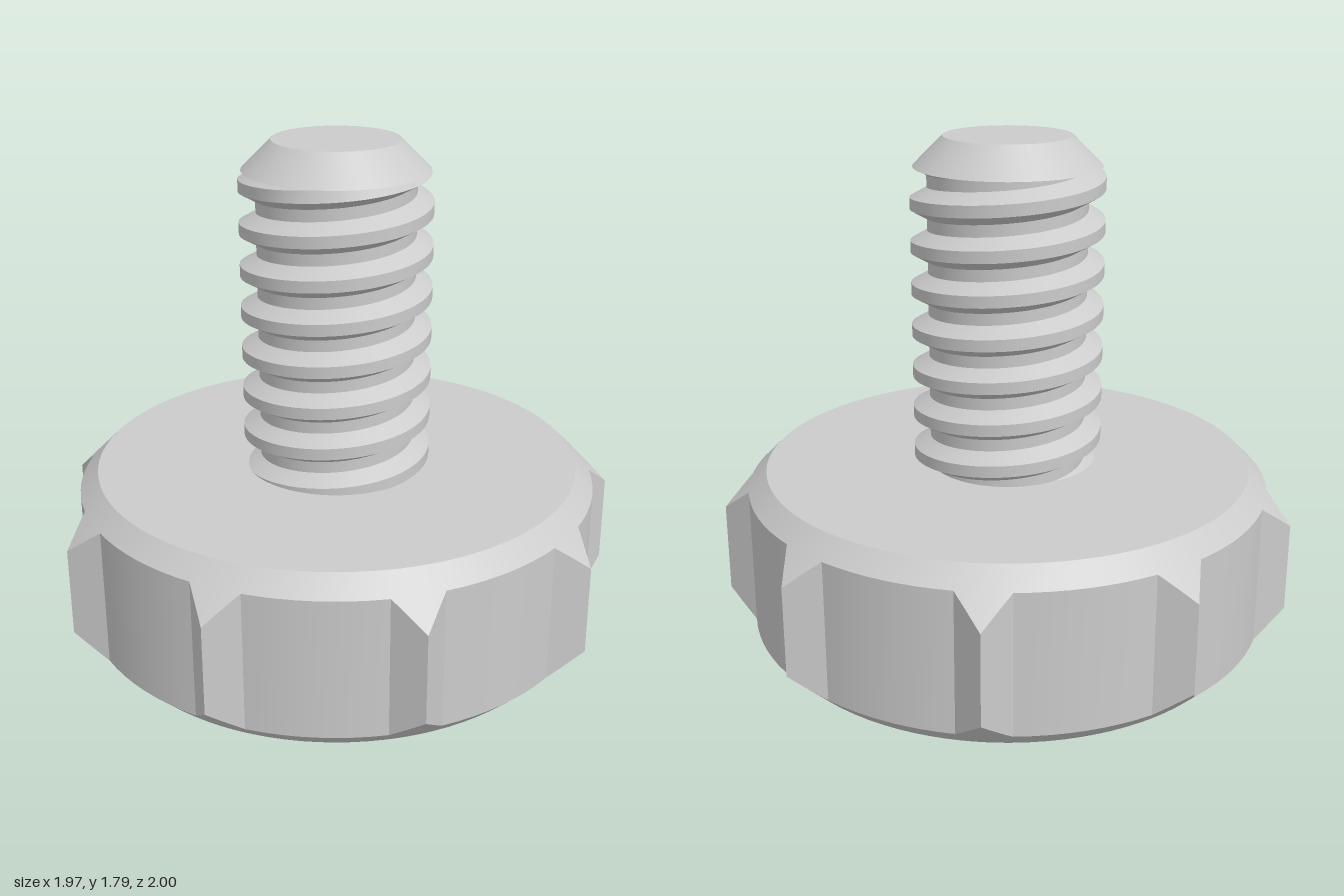
import * as THREE from 'three';
import { toCreasedNormals } from 'three/addons/utils/BufferGeometryUtils.js';

const TAU = Math.PI * 2;
const KNOB_TOP = 0.627, FACE_R = 0.86, KNOB_R = 0.925, TIP_R = 1.015, TEETH = 9;
const PITCH = 0.148, MAJOR_R = 0.333, MINOR_R = 0.275, FLAT = 0.0205; // FLAT: half crest width
const CAP_Y = 1.684, TOP_Y = 1.786, TOP_R = 0.22;

// Skin a grid of points: columns run counter-clockwise seen from above, rows run upward.
function gridGeometry(columns) {
  const rows = columns[0].length, index = [];
  for (let i = 0; i < columns.length - 1; i++) {
    for (let j = 0; j < rows - 1; j++) {
      const a = i * rows + j, b = a + rows;
      index.push(a, b, b + 1, a, b + 1, a + 1);
    }
  }
  const geometry = new THREE.BufferGeometry();
  geometry.setAttribute('position', new THREE.Float32BufferAttribute(columns.flat(2), 3));
  geometry.setIndex(index);
  return toCreasedNormals(geometry, 0.5);
}

const polar = (r, angle, y) => [r * Math.cos(angle), y, -r * Math.sin(angle)];

// Round knob with pointed grip ribs, chamfered at 45 degrees top and bottom
function knobGeometry() {
  const half = Math.asin(0.09 / KNOB_R);
  const baseX = KNOB_R * Math.cos(half), baseZ = KNOB_R * Math.sin(half);
  const outline = []; // [radius, angle]
  const ribSteps = 4, arcSteps = 8;
  for (let k = 0; k < TEETH; k++) {
    const centre = (k * TAU) / TEETH;
    for (let s = -ribSteps; s <= ribSteps; s++) {
      const t = s / ribSteps;
      const x = THREE.MathUtils.lerp(TIP_R, baseX, Math.abs(t)), z = baseZ * t;
      outline.push([Math.hypot(x, z), centre + Math.atan2(z, x)]);
    }
    const gap = TAU / TEETH - 2 * half;
    for (let s = 1; s < arcSteps; s++) outline.push([KNOB_R, centre + half + (gap * s) / arcSteps]);
  }
  outline.push(outline[0]);
  return gridGeometry(outline.map(([r, a]) => [
    polar(0, a, 0),
    polar(FACE_R, a, 0),
    polar(r, a, r - FACE_R),
    polar(r, a, KNOB_TOP - (r - FACE_R)),
    polar(FACE_R, a, KNOB_TOP),
    polar(0, a, KNOB_TOP),
  ]));
}

// Right-handed trapezoidal thread, trimmed by the chamfer cone of the tip
function threadGeometry() {
  const segments = 72, startY = 0.6, crestY = 1.544;
  const flank = (PITCH - 4 * FLAT) / 2;
  const offsets = [-FLAT - flank, -FLAT, FLAT, FLAT + flank];
  const columns = [];
  for (let i = 0; i <= segments; i++) {
    const angle = (i / segments) * TAU, column = [];
    const shift = crestY + (PITCH * i) / segments;
    for (let k = -8; k <= 2; k++) {
      for (const offset of offsets) {
        const y = THREE.MathUtils.clamp(shift + k * PITCH + offset, startY, CAP_Y);
        const phase = (y - shift) / PITCH;
        const fromCrest = Math.abs(phase - Math.round(phase)) * PITCH;
        const depth = THREE.MathUtils.clamp((fromCrest - FLAT) / flank, 0, 1);
        const r = THREE.MathUtils.lerp(MAJOR_R, MINOR_R, depth);
        column.push(polar(Math.min(r, TOP_R + TOP_Y - y), angle, y));
      }
    }
    columns.push(column);
  }
  return gridGeometry(columns);
}

// Solid conical end of the screw
function tipGeometry() {
  const capR = TOP_R + TOP_Y - CAP_Y;
  const profile = [[0, CAP_Y], [capR, CAP_Y], [TOP_R, TOP_Y], [0, TOP_Y]];
  return toCreasedNormals(
    new THREE.LatheGeometry(profile.map(([x, y]) => new THREE.Vector2(x, y)), 72), 0.5);
}

export function createModel() {
  const model = new THREE.Group();
  model.name = 'thumbScrew';
  const material = new THREE.MeshStandardMaterial({ color: 0xcccccc });
  const parts = { knob: knobGeometry(), screwThread: threadGeometry(), screwTip: tipGeometry() };
  for (const [name, geometry] of Object.entries(parts)) {
    const mesh = new THREE.Mesh(geometry, material);
    mesh.name = name;
    mesh.position.x = -0.03; // the odd rib count puts the axis off the middle
    model.add(mesh);
  }
  return model;
}
